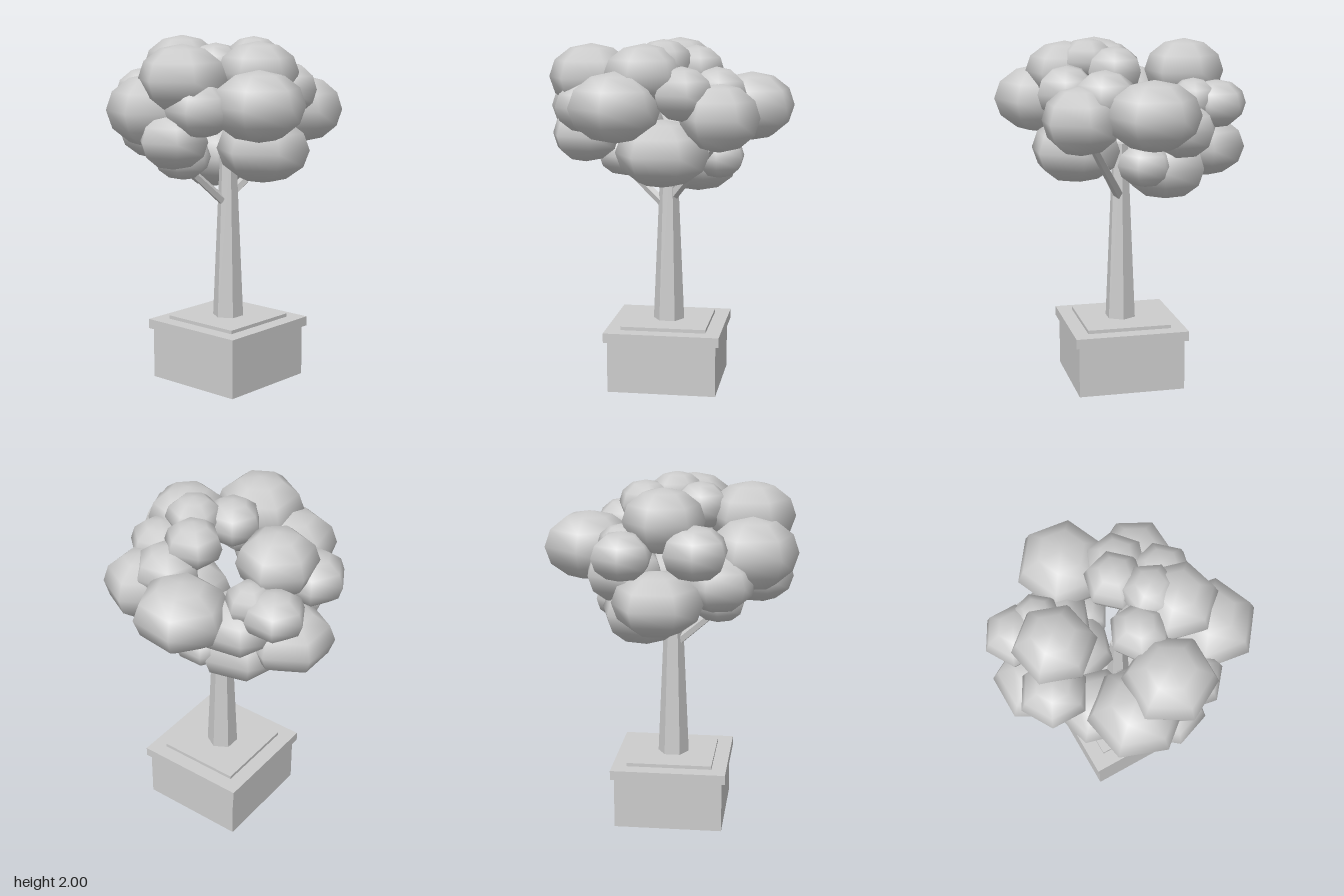
import * as THREE from 'three';

const grey = new THREE.MeshStandardMaterial({ color: 0xcccccc });
grey.name = 'plainGrey';

function add(parent, name, geometry) {
  const mesh = new THREE.Mesh(geometry, grey);
  mesh.name = name;
  parent.add(mesh);
  return mesh;
}

// Box standing on height y0
function slab(parent, name, w, y0, y1, d) {
  add(parent, name, new THREE.BoxGeometry(w, y1 - y0, d)).position.y = (y0 + y1) / 2;
}

// Tapered limb between two points
function limb(parent, name, from, to, r0, r1, sides) {
  const a = new THREE.Vector3(...from);
  const b = new THREE.Vector3(...to);
  const dir = b.clone().sub(a);
  const geo = new THREE.CylinderGeometry(r1, r0, dir.length(), sides).toNonIndexed();
  geo.computeVertexNormals();
  const mesh = add(parent, name, geo);
  mesh.position.copy(a).add(b).multiplyScalar(0.5);
  mesh.quaternion.setFromUnitVectors(new THREE.Vector3(0, 1, 0), dir.normalize());
  return mesh;
}

// Leaf clumps: x, y, z, radius, half height, turn in degrees
const clumps = [
  // crown
  [0.01, 1.81, -0.37, 0.225, 0.18, 49],
  [-0.435, 1.78, 0.057, 0.25, 0.19, 1],
  [-0.09, 1.81, 0.30, 0.225, 0.17, 45],
  [0.00, 1.875, 0.19, 0.16, 0.125, 55],
  [0.165, 1.83, 0.07, 0.165, 0.135, 13],
  [-0.15, 1.83, 0.04, 0.165, 0.135, 25],
  [0.29, 1.70, 0.15, 0.185, 0.15, 20],
  // middle
  [0.465, 1.615, -0.08, 0.26, 0.195, 37],
  [-0.455, 1.60, -0.15, 0.26, 0.205, 50],
  [-0.23, 1.642, 0.425, 0.26, 0.195, 38],
  [0.32, 1.58, 0.29, 0.225, 0.19, 58],
  [0.12, 1.71, 0.33, 0.18, 0.15, 13],
  [-0.43, 1.62, 0.18, 0.19, 0.15, 40],
  [0.22, 1.64, -0.50, 0.175, 0.135, 30],
  [-0.17, 1.66, -0.48, 0.19, 0.15, 30],
  [0.24, 1.67, -0.36, 0.14, 0.12, 10],
  [0.24, 1.51, -0.28, 0.23, 0.17, 20],
  // underside
  [0.00, 1.375, 0.26, 0.265, 0.19, 0],
  [-0.48, 1.45, 0.03, 0.205, 0.16, 10],
  [-0.27, 1.32, -0.10, 0.165, 0.125, 30],
  [0.14, 1.285, -0.23, 0.25, 0.19, 15],
  [0.28, 1.32, -0.08, 0.16, 0.125, 30],
  [0.035, 1.38, -0.475, 0.25, 0.18, 0],
  [-0.28, 1.46, -0.29, 0.215, 0.16, 45],
];

export function createModel() {
  const model = new THREE.Group();
  model.name = 'pottedTree';

  // Square planter
  const planter = new THREE.Group();
  planter.name = 'planter';
  slab(planter, 'planterBody', 0.62, 0, 0.295, 0.615);
  slab(planter, 'planterRim', 0.66, 0.295, 0.35, 0.655);
  slab(planter, 'soil', 0.49, 0.35, 0.37, 0.485);
  model.add(planter);

  // Trunk and branches
  const wood = new THREE.Group();
  wood.name = 'wood';
  limb(wood, 'trunk', [0, 0.37, 0], [0, 1.4, 0], 0.09, 0.045, 6).rotation.y = Math.PI / 2;
  limb(wood, 'leftBranch', [0.01, 1.08, 0], [0.33, 1.48, 0.25], 0.03, 0.022, 5);
  limb(wood, 'rightBranch', [-0.01, 1.03, 0], [-0.42, 1.40, -0.1], 0.028, 0.02, 5);
  model.add(wood);

  // Foliage of squashed six-sided balls
  const foliage = new THREE.Group();
  foliage.name = 'foliage';
  for (const [x, y, z, r, h, turn] of clumps) {
    const clump = add(foliage, 'leafClump', new THREE.SphereGeometry(1, 6, 6));
    clump.scale.set(r, h, r);
    clump.rotation.y = -THREE.MathUtils.degToRad(turn);
    clump.position.set(x, y, z);
  }
  model.add(foliage);

  return model;
}
